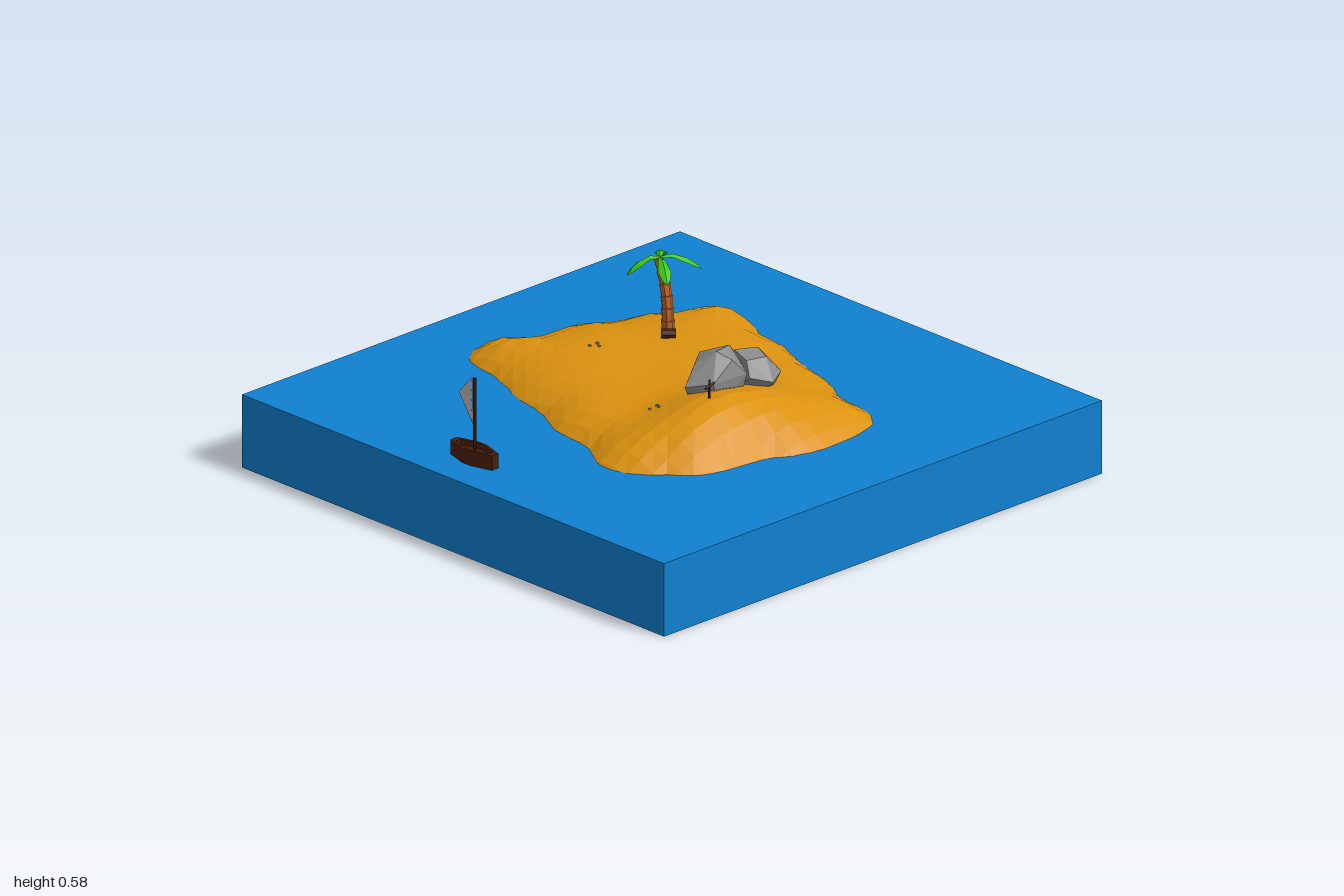
import * as THREE from 'three';
import { ConvexGeometry } from 'three/addons/geometries/ConvexGeometry.js';

const SEA = 0.26;
const V = (x, y, z) => new THREE.Vector3(x, y, z);
const mat = (color, side = THREE.FrontSide) => new THREE.MeshStandardMaterial({ color, flatShading: true, side });
const water = mat(0x1080d0), sand = mat(0xdc920f), stone = mat(0x8c8c8c), bark = mat(0xc0642a);
const leafGreen = mat(0x3cc814, THREE.DoubleSide), darkWood = mat(0x4a1e0a), cloth = mat(0xbbbbbb, THREE.DoubleSide);

function part(name, geometry, material, parent) {
  const mesh = new THREE.Mesh(geometry, material);
  mesh.name = name;
  parent.add(mesh);
  return mesh;
}

// Shoreline, as x, z pairs
const shore = [
  [-.14, -.76], [-.06, -.735], [0, -.67], [.18, -.665], [.28, -.585], [.39, -.57], [.48, -.505], [.62, -.46],
  [.66, -.37], [.63, -.275], [.58, -.18], [.565, -.05], [.5, .11], [.47, .25], [.39, .4], [.38, .54],
  [.33, .62], [.22, .66], [.03, .667], [-.07, .635], [-.13, .59], [-.32, .57], [-.41, .535], [-.47, .465],
  [-.535, .405], [-.575, .32], [-.57, .23], [-.49, .11], [-.48, -.05], [-.4, -.21], [-.375, -.345],
  [-.295, -.53], [-.285, -.65], [-.245, -.72],
];

// Distance to the shoreline: positive on land, negative at sea
function inland(x, z) {
  let inside = false, best = Infinity;
  shore.forEach(([ax, az], i) => {
    const [bx, bz] = shore[(i + 1) % shore.length];
    const dx = bx - ax, dz = bz - az;
    const t = THREE.MathUtils.clamp(((x - ax) * dx + (z - az) * dz) / (dx * dx + dz * dz), 0, 1);
    best = Math.min(best, Math.hypot(x - ax - t * dx, z - az - t * dz));
    if (az > z !== bz > z && x < ax + ((z - az) * dx) / dz) inside = !inside;
  });
  return inside ? best : -best;
}

// Beach slope, plateau and one hill near the front
function groundHeight(x, z) {
  const d = inland(x, z);
  const hill = 0.082 * Math.exp(-0.5 * (((x + 0.13) / 0.17) ** 2 + ((z - 0.38) / 0.12) ** 2));
  const land = THREE.MathUtils.clamp(d / 0.1, 0, 1);
  const ripple = 0.003 * Math.sin(11 * x + 5 * z) * Math.cos(9 * z);
  return Math.max(0.1, SEA + 0.083 * (1 - Math.exp(-d / 0.1)) + land * (hill + ripple));
}

function islandGeometry() {
  const geo = new THREE.PlaneGeometry(1.5, 1.6, 24, 26).rotateX(-Math.PI / 2);
  const pos = geo.attributes.position;
  for (let i = 0; i < pos.count; i++) pos.setY(i, groundHeight(pos.getX(i), pos.getZ(i)));
  // keep only triangles that reach above the water
  const all = geo.index.array, kept = [];
  for (let i = 0; i < all.length; i += 3) {
    const tri = [all[i], all[i + 1], all[i + 2]];
    if (tri.some((v) => pos.getY(v) > SEA)) kept.push(...tri);
  }
  geo.setIndex(kept);
  geo.computeVertexNormals();
  return geo;
}

// Cylinder between two points
function rod(name, a, b, rA, rB, sides, material, parent) {
  const mesh = part(name, new THREE.CylinderGeometry(rB, rA, a.distanceTo(b), sides), material, parent);
  mesh.position.copy(a).add(b).multiplyScalar(0.5);
  mesh.quaternion.setFromUnitVectors(V(0, 1, 0), b.clone().sub(a).normalize());
  return mesh;
}

// Drooping leaf with a raised midrib, running along +x
function leafGeometry(length) {
  const stations = [[0, 0.006, 0], [0.3, 0.013, 0.006], [0.65, 0.022, -0.012], [0.85, 0.015, -0.032], [1, 0.001, -0.052]];
  const points = [], index = [];
  stations.forEach(([t, w, y], i) => {
    points.push(t * length, y - w * 0.4, -w, t * length, y + 0.003, 0, t * length, y - w * 0.4, w);
    if (i === 0) return;
    for (let k = 0; k < 2; k++) {
      const a = (i - 1) * 3 + k, b = a + 3;
      index.push(a, a + 1, b, a + 1, b + 1, b);
    }
  });
  const geo = new THREE.BufferGeometry();
  geo.setAttribute('position', new THREE.Float32BufferAttribute(points, 3));
  geo.setIndex(index);
  geo.computeVertexNormals();
  return geo;
}

function palm() {
  const group = new THREE.Group();
  group.name = 'palmTree';
  // trunk of stacked flared segments along a bent line
  const path = new THREE.CatmullRomCurve3([V(.27, .325, -.3), V(.272, .41, -.304), V(.275, .49, -.32), V(.28, .57, -.355)]);
  const n = 6;
  for (let i = 0; i < n; i++) {
    const r = 0.021 - 0.0012 * i;
    rod('trunkSegment', path.getPoint(i / n), path.getPoint((i + 1) / n), r, r + 0.003, 7, bark, group);
  }
  // four leaves given by their tips
  for (const [x, z] of [[.378, -.442], [.397, -.272], [.215, -.245], [.18, -.402]]) {
    const dx = x - .28, dz = z + .35;
    const leaf = part('palmLeaf', leafGeometry(Math.hypot(dx, dz)), leafGreen, group);
    leaf.position.set(.28, .574, -.35);
    leaf.rotation.y = Math.atan2(-dz, dx);
  }
  return group;
}

function hullShape(s) {
  const pts = [[-.015, -.098], [.015, -.098], [.038, -.02], [.038, .02], [.015, .098], [-.015, .098], [-.038, .02], [-.038, -.02]];
  return pts.map(([x, y]) => new THREE.Vector2(x * s, y * s));
}

function boat() {
  const group = new THREE.Group();
  group.name = 'boat';
  group.position.set(-.842, 0, -.062);
  const extrude = (shape, depth, y) =>
    new THREE.ExtrudeGeometry(shape, { depth, bevelEnabled: false }).rotateX(-Math.PI / 2).translate(0, y, 0);
  const rim = new THREE.Shape(hullShape(1));
  rim.holes.push(new THREE.Path(hullShape(0.78).reverse()));
  part('hull', extrude(rim, .055, .257), darkWood, group);
  part('deck', extrude(new THREE.Shape(hullShape(0.85)), .035, .257), darkWood, group);
  rod('mast', V(0, .28, 0), V(0, .556, 0), .006, .006, 6, darkWood, group);
  // slightly bulging triangular sail
  const sail = new THREE.BufferGeometry();
  sail.setAttribute('position', new THREE.Float32BufferAttribute(
    [.004, .555, -.014, .006, .385, -.014, .026, .47, -.102, .016, .47, -.045], 3));
  sail.setIndex([0, 1, 3, 1, 2, 3, 2, 0, 3]);
  sail.computeVertexNormals();
  part('sail', sail, cloth, group);
  // ties from mast to sail
  for (const y of [.4, .435, .47, .505, .54]) rod('sailTie', V(0, y, 0), V(.005, y, -.02), .002, .002, 4, cloth, group);
  return group;
}

export function createModel() {
  const model = new THREE.Group();
  model.name = 'island';

  part('sea', new THREE.BoxGeometry(2, SEA, 2).translate(0, SEA / 2, 0), water, model);
  part('sandIsland', islandGeometry(), sand, model);

  // Two faceted boulders
  part('largeRock', new ConvexGeometry([
    V(-.145, .4, .21), V(-.08, .46, .19), V(-.03, .505, .24), V(.05, .5, .22), V(.098, .45, .2), V(.005, .46, .125),
    V(.055, .42, .3), V(-.09, .42, .29), V(0, .48, .285), V(-.1, .32, .2), V(.07, .32, .17), V(.05, .32, .27), V(-.06, .32, .28),
  ]), stone, model);
  part('smallRock', new ConvexGeometry([
    V(.1, .46, .19), V(.18, .455, .22), V(.217, .41, .168), V(.22, .4, .25), V(.2, .39, .31), V(.13, .38, .345),
    V(.065, .4, .3), V(.08, .45, .27), V(.15, .45, .29), V(.09, .32, .2), V(.2, .32, .19), V(.2, .32, .27), V(.12, .32, .29),
  ]), stone, model);

  model.add(palm(), boat());

  // Short log beside the palm
  rod('log', V(.19, .358, -.248), V(.225, .358, -.215), .017, .017, 7, darkWood, model);

  // Wooden cross on the hill
  rod('crossPost', V(-.162, .37, .345), V(-.158, .472, .342), .005, .004, 5, darkWood, model);
  rod('crossArm', V(-.182, .448, .347), V(-.136, .456, .342), .004, .004, 5, darkWood, model);

  // Small clusters of pebbles
  for (const [cx, cz] of [[-.008, -.352], [.286, .002], [-.252, .185]]) {
    for (const [dx, dz, r] of [[-.016, -.012, .006], [.014, -.008, .007], [.002, .014, .006]]) {
      const x = cx + dx, z = cz + dz;
      part('pebble', new THREE.IcosahedronGeometry(r, 0), stone, model).position.set(x, groundHeight(x, z), z);
    }
  }
  return model;
}
